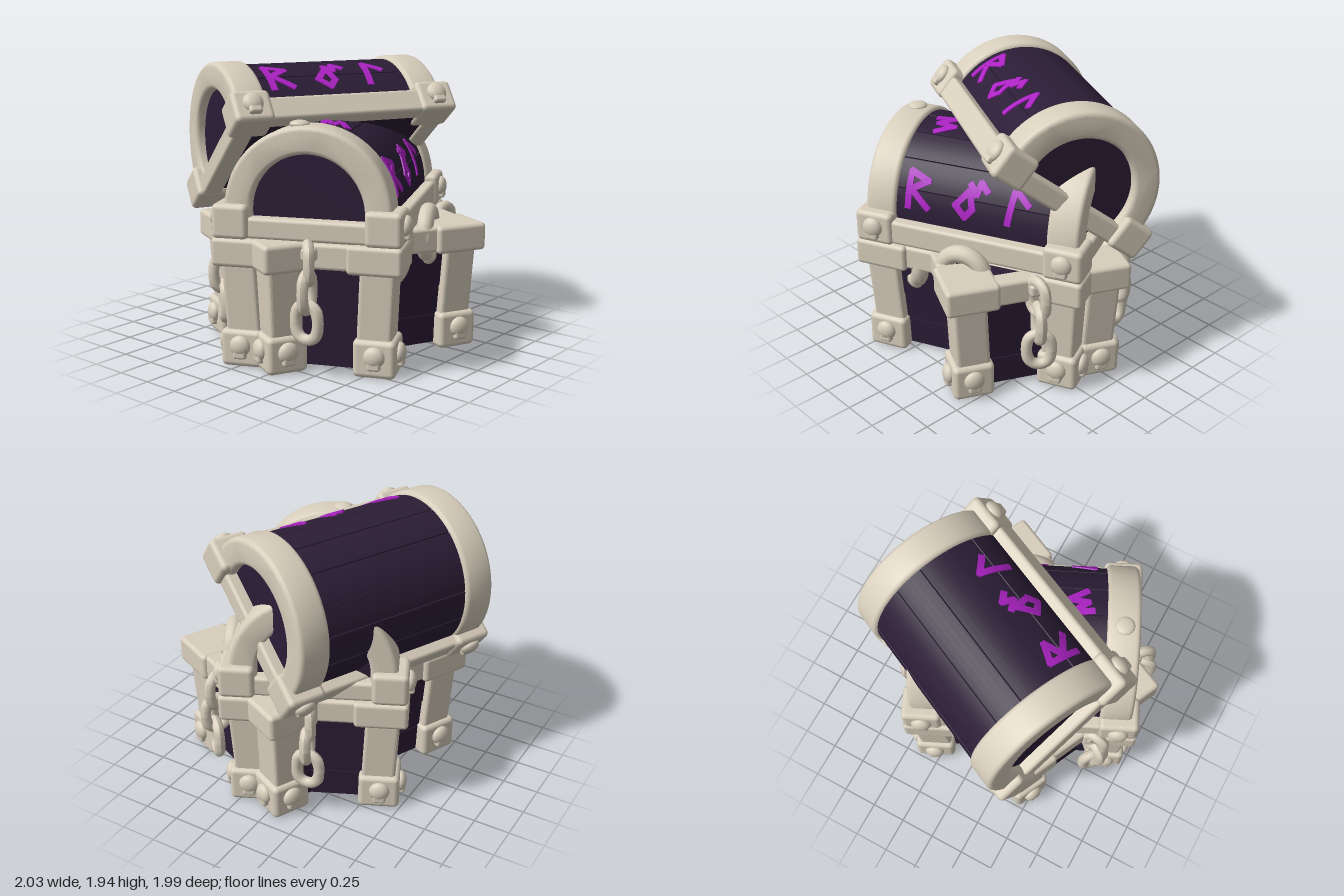
import * as THREE from 'three';
import { toCreasedNormals } from 'three/addons/utils/BufferGeometryUtils.js';
import { RoundedBoxGeometry } from 'three/addons/geometries/RoundedBoxGeometry.js';

const bone = new THREE.MeshStandardMaterial({ color: 0xd8cebc });
bone.name = 'bone';
const wood = new THREE.MeshStandardMaterial({ color: 0x2b1d36 });
wood.name = 'darkWood';
const glow = new THREE.MeshStandardMaterial({ color: 0xac22c4 });
glow.name = 'purplePaint';

const HW = 0.8, HD = 0.61;              // half width and half depth of a chest
const RO = 0.55, RI = 0.37, RB = 0.525; // lid arch outer, inner and plank radius
const CY = 0.19;                        // height of the lid arch centre
const SIGNS = [-1, 1];

function add(parent, name, geometry, material, x = 0, y = 0, z = 0) {
  const mesh = new THREE.Mesh(geometry, material);
  mesh.name = name;
  mesh.position.set(x, y, z);
  parent.add(mesh);
  return mesh;
}

function move(geometry, rule) {
  const p = geometry.attributes.position, v = new THREE.Vector3();
  for (let i = 0; i < p.count; i++) {
    rule(v.fromBufferAttribute(p, i));
    p.setXYZ(i, v.x, v.y, v.z);
  }
  geometry.computeVertexNormals();
  return geometry;
}

const rounded = (w, h, d, r = 0.025) => new RoundedBoxGeometry(w, h, d, 2, r);

// Small skull-shaped stud facing local +z
function stud(parent, x, y, z, turn) {
  const g = new THREE.Group();
  g.name = 'skullStud';
  g.position.set(x, y, z);
  g.rotation.y = turn;
  add(g, 'cranium', new THREE.SphereGeometry(0.07, 16, 12), bone, 0, 0.012, 0).scale.z = 0.6;
  add(g, 'jaw', rounded(0.088, 0.06, 0.064, 0.018), bone, 0, -0.043, 0);
  parent.add(g);
}

// Three interlocking links hanging on a chest end
function chain(parent, side) {
  const g = new THREE.Group();
  g.name = 'chain';
  g.position.set(side * (HW + 0.03), 0, 0.03);
  [[0.75, 0.35, 0], [0.57, -0.1, 0.02], [0.375, 1.3, 0.03]].forEach(([y, turn, out]) => {
    const link = move(new THREE.TorusGeometry(0.082, 0.037, 10, 28), v => {
      v.y += 0.035 * THREE.MathUtils.clamp(v.y / 0.04, -1, 1);
    });
    add(g, 'chainLink', link, bone, side * out, y, 0).rotation.y = turn;
  });
  add(g, 'chainBracket', rounded(0.12, 0.09, 0.1), bone, side * -0.05, 0.8, 0);
  parent.add(g);
}

// Open shackle on the front of a chest
function shackle(parent, y) {
  const g = new THREE.Group();
  g.name = 'shackle';
  g.position.set(0, y, HD + 0.035);
  add(g, 'shackleRing', new THREE.TorusGeometry(0.148, 0.06, 12, 36, Math.PI * 1.74), bone).rotation.z = -0.37 * Math.PI;
  for (const s of SIGNS) {
    const a = Math.PI * (s > 0 ? -0.37 : 1.37);
    add(g, 'shackleEnd', new THREE.SphereGeometry(0.074, 12, 10), bone, 0.148 * Math.cos(a), 0.148 * Math.sin(a), 0);
  }
  parent.add(g);
}

function makeBase(shackleY) {
  const base = new THREE.Group();
  base.name = 'base';
  // Plank courses, a little narrower toward the floor
  [[0.03, 0.23, 0], [0.23, 0.44, 0.008], [0.44, 0.7, 0], [0.7, 0.86, 0.01]].forEach(([y0, y1, inset]) => {
    const box = new THREE.BoxGeometry(1, y1 - y0, 1);
    move(box, v => {
      const out = 0.05 * (v.y + (y0 + y1) / 2) - 0.125 - inset;
      v.x = Math.sign(v.x) * (HW + out);
      v.z = Math.sign(v.z) * (HD + out);
    });
    add(base, 'wallPlanks', box, wood, 0, (y0 + y1) / 2, 0);
  });
  for (const s of SIGNS) {
    add(base, 'longRim', rounded(2 * HW - 0.1, 0.17, 0.14), bone, 0, 0.78, s * (HD - 0.085));
    add(base, 'endRim', rounded(0.14, 0.17, 2 * HD - 0.1), bone, s * (HW - 0.085), 0.78, 0);
    chain(base, s);
  }
  // Corner posts, feet, caps and studs
  for (const sx of SIGNS) for (const sz of SIGNS) {
    const post = move(rounded(0.23, 0.56, 0.23), v => {
      v.x += sx * v.y * 0.05;
      v.z += sz * v.y * 0.05;
    });
    add(base, 'cornerPost', post, bone, sx * (HW - 0.165), 0.46, sz * (HD - 0.165));
    add(base, 'foot', rounded(0.28, 0.25, 0.28, 0.035), bone, sx * (HW - 0.17), 0.125, sz * (HD - 0.17));
    add(base, 'rimCap', rounded(0.37, 0.19, 0.36, 0.03), bone, sx * (HW - 0.175), 0.775, sz * (HD - 0.165));
    stud(base, sx * (HW - 0.165), 0.135, sz * (HD - 0.025), sz > 0 ? 0 : Math.PI);
    stud(base, sx * (HW - 0.025), 0.135, sz * (HD - 0.165), sx * Math.PI / 2);
  }
  shackle(base, shackleY);
  return base;
}

// Angular painted marks, as strokes [x1, y1, x2, y2]
const pennant = [[-0.06, -0.12, -0.06, 0.12], [-0.06, 0.12, 0.07, 0.07], [0.07, 0.07, -0.05, 0], [-0.03, -0.01, 0.08, -0.11]];
const zigzag = [[-0.1, -0.05, -0.01, 0.06], [-0.01, 0.06, 0.02, -0.06], [-0.1, -0.05, -0.03, -0.12], [-0.03, -0.12, 0.02, -0.06],
  [-0.01, 0.1, 0.04, 0.04], [0.04, 0.04, 0.06, 0.12], [0.06, 0.12, 0.11, 0.07]];
const bend = [[-0.06, -0.11, -0.03, 0.12], [-0.03, 0.12, 0.07, 0.03]];
const bolt = [[-0.08, 0.06, 0.06, 0.08], [0.06, 0.08, -0.05, 0], [-0.05, 0, 0.07, -0.02], [0.07, -0.02, -0.04, -0.09]];

// Wraps strokes around the barrel of the lid
function paintMark(parent, strokes, x, angle) {
  for (const [x1, y1, x2, y2] of strokes) {
    const len = Math.hypot(x2 - x1, y2 - y1), tilt = Math.atan2(y2 - y1, x2 - x1);
    const g = new THREE.BoxGeometry(len + 0.03, 0.044, 0.009, 6, 1, 1);
    g.rotateZ(tilt).translate((x1 + x2) / 2, (y1 + y2) / 2, 0);
    move(g, v => {
      const a = angle + v.y / RB, r = RB + 0.004 + v.z;
      v.set(x + v.x, CY + r * Math.sin(a), r * Math.cos(a));
    });
    add(parent, 'paintedMark', g, glow);
  }
}

function makeLid() {
  const lid = new THREE.Group();
  lid.name = 'lid';
  // Barrel of planks with thin grooves between them
  const barrel = new THREE.Shape();
  barrel.moveTo(RB, 0.03 - CY);
  const planks = 8, step = Math.PI / planks;
  for (let i = 0; i < planks; i++) {
    for (let k = 0; k <= 5; k++) {
      const a = i * step + 0.008 + (step - 0.016) * k / 5;
      barrel.lineTo(RB * Math.cos(a), RB * Math.sin(a));
    }
    const g = (i + 1) * step;
    barrel.lineTo((RB - 0.008) * Math.cos(g), (RB - 0.008) * Math.sin(g));
  }
  barrel.lineTo(-RB, 0.03 - CY);
  const half = HW - 0.11;
  const barrelGeo = new THREE.ExtrudeGeometry(barrel, { depth: 2 * half, bevelEnabled: false });
  barrelGeo.translate(0, 0, -half).rotateY(-Math.PI / 2);
  add(lid, 'lidPlanks', toCreasedNormals(barrelGeo, 0.3), wood, 0, CY, 0);

  // End arches
  const b = 0.03, arch = new THREE.Shape();
  arch.moveTo(RO - b, -0.14);
  arch.lineTo(RO - b, 0);
  arch.absarc(0, 0, RO - b, 0, Math.PI, false);
  arch.lineTo(b - RO, -0.14);
  arch.lineTo(-RI - b, -0.14);
  arch.lineTo(-RI - b, 0);
  arch.absarc(0, 0, RI + b, Math.PI, 0, true);
  arch.lineTo(RI + b, -0.14);
  const archGeo = new THREE.ExtrudeGeometry(arch, { depth: 0.16, bevelSize: b, bevelThickness: b, bevelSegments: 3, curveSegments: 28 });
  archGeo.translate(0, 0, -0.08).rotateY(Math.PI / 2);
  const smoothArch = toCreasedNormals(archGeo, 0.7);
  for (const s of SIGNS) {
    add(lid, 'endArch', smoothArch, bone, s * (HW - 0.155), CY, 0);
    add(lid, 'endSill', rounded(0.14, 0.14, 2 * HD - 0.2), bone, s * (HW - 0.1), 0.075, 0);
    add(lid, 'longRail', rounded(2 * HW - 0.2, 0.17, 0.12), bone, 0, 0.095, s * (HD - 0.07));
    for (const sz of SIGNS) {
      add(lid, 'lidCorner', rounded(0.27, 0.23, 0.24, 0.035), bone, s * (HW - 0.13), 0.115, sz * (HD - 0.11));
      stud(lid, s * (HW - 0.13), 0.115, sz * (HD + 0.015), sz > 0 ? 0 : Math.PI);
    }
  }
  paintMark(lid, pennant, -0.39, 0.4);
  paintMark(lid, zigzag, -0.01, 0.4);
  paintMark(lid, bend, 0.32, 0.4);
  return lid;
}

export function createModel() {
  const model = new THREE.Group();
  model.name = 'crossedChests';

  // Closed chest
  const closed = new THREE.Group();
  closed.name = 'closedChest';
  closed.position.set(-0.05, 0, 0.1);
  closed.rotation.y = 0.436;
  const closedLid = makeLid();
  closedLid.position.y = 0.86;
  for (const s of SIGNS) paintMark(closedLid, bolt, s * 0.36, 1.4);
  const cap = add(closedLid, 'archStud', new THREE.SphereGeometry(0.065, 16, 10), bone, -HW + 0.15, CY + RO, -0.07);
  cap.scale.y = 0.4;
  closed.add(makeBase(0.79), closedLid);

  // Open chest, its lid swung back on the rear edge
  const open = new THREE.Group();
  open.name = 'openChest';
  open.position.set(-0.015, 0, 0.1);
  open.rotation.y = -0.445;
  const hinge = new THREE.Group();
  hinge.name = 'lidHinge';
  hinge.position.set(-0.05, 0.86, -HD - 0.04);
  hinge.rotation.x = -0.665;
  const openLid = makeLid();
  openLid.position.z = HD;
  hinge.add(openLid);
  open.add(makeBase(0.7), hinge);

  model.add(closed, open);
  return model;
}
